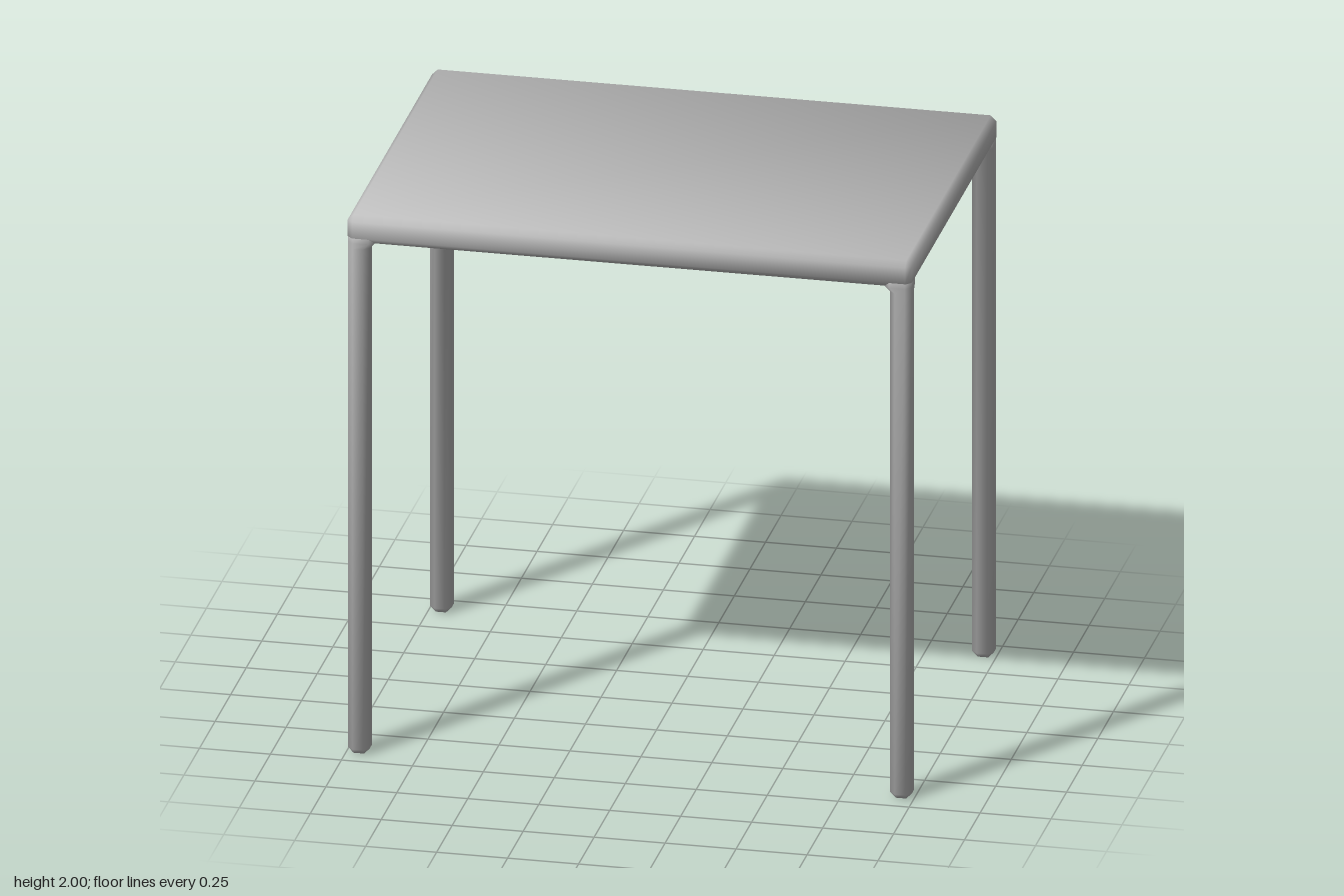
import * as THREE from 'three';

const W = 0.994, D = 0.697, TOP = 2, UNDER = 1.9, LEG = 0.077, B = 0.02;

// Horizontal rectangle with cut corners, ordered anticlockwise from above
function section(y, x0, x1, z0, z1, b) {
  return [
    [x0 + b, z1], [x1 - b, z1], [x1, z1 - b], [x1, z0 + b],
    [x1 - b, z0], [x0 + b, z0], [x0, z0 + b], [x0, z1 - b],
  ].map(([x, z]) => new THREE.Vector3(x, y, z));
}

// Closed skin over rising sections, with softly averaged normals
function loft(sections) {
  const points = [], lookup = new Map();
  const rings = sections.map(ring => ring.map(p => {
    const key = p.toArray().map(v => v.toFixed(5)).join();
    if (!lookup.has(key)) {
      lookup.set(key, points.length);
      points.push(p);
    }
    return lookup.get(key);
  }));
  const faces = [[...rings[0]].reverse(), rings[rings.length - 1]];
  for (let r = 0; r + 1 < rings.length; r++) {
    for (let i = 0; i < 8; i++) {
      const j = (i + 1) % 8;
      faces.push([rings[r][i], rings[r][j], rings[r + 1][j], rings[r + 1][i]]);
    }
  }
  const normals = points.map(() => new THREE.Vector3());
  const index = [];
  for (const face of faces) {
    const f = [...new Set(face)];
    if (f.length < 3) continue;
    const n = new THREE.Vector3();
    f.forEach((v, i) => n.add(points[v].clone().cross(points[f[(i + 1) % f.length]])));
    n.normalize();
    f.forEach(v => normals[v].add(n));
    for (let i = 1; i + 1 < f.length; i++) index.push(f[0], f[i], f[i + 1]);
  }
  normals.forEach(n => n.normalize());
  const g = new THREE.BufferGeometry();
  g.setAttribute('position', new THREE.Float32BufferAttribute(points.flatMap(p => p.toArray()), 3));
  g.setAttribute('normal', new THREE.Float32BufferAttribute(normals.flatMap(n => n.toArray()), 3));
  g.setIndex(index);
  return g;
}

export function createModel() {
  const group = new THREE.Group();
  const grey = new THREE.MeshStandardMaterial({ color: 0xbcbcbc });
  grey.name = 'plain grey';

  const add = (name, sections) => {
    const mesh = new THREE.Mesh(loft(sections), grey);
    mesh.name = name;
    group.add(mesh);
  };

  // Table top with bevelled edges
  const slab = (y, inset, b) => section(y, -W + inset, W - inset, -D + inset, D - inset, b);
  add('tableTop', [slab(UNDER, B, 0), slab(UNDER + B, 0, B), slab(TOP - B, 0, B), slab(TOP, B, 0)]);

  // Four legs with bevelled feet, flaring inwards under the top
  for (const sx of [-1, 1]) {
    for (const sz of [-1, 1]) {
      const ring = (y, inset, b, flare = 0) => {
        const xs = [sx * (W - 0.001 - inset), sx * (W - LEG + inset - flare)].sort((a, c) => a - c);
        const zs = [sz * (D - 0.001 - inset), sz * (D - LEG + inset - flare)].sort((a, c) => a - c);
        return section(y, ...xs, ...zs, b);
      };
      const name = (sz > 0 ? 'front' : 'back') + (sx > 0 ? 'Left' : 'Right') + 'Leg';
      add(name, [
        ring(0, B, 0), ring(B, 0, B), ring(UNDER - B, 0, B),
        ring(UNDER, 0, B, B), ring(UNDER + 0.04, 0, B, B),
      ]);
    }
  }
  return group;
}
